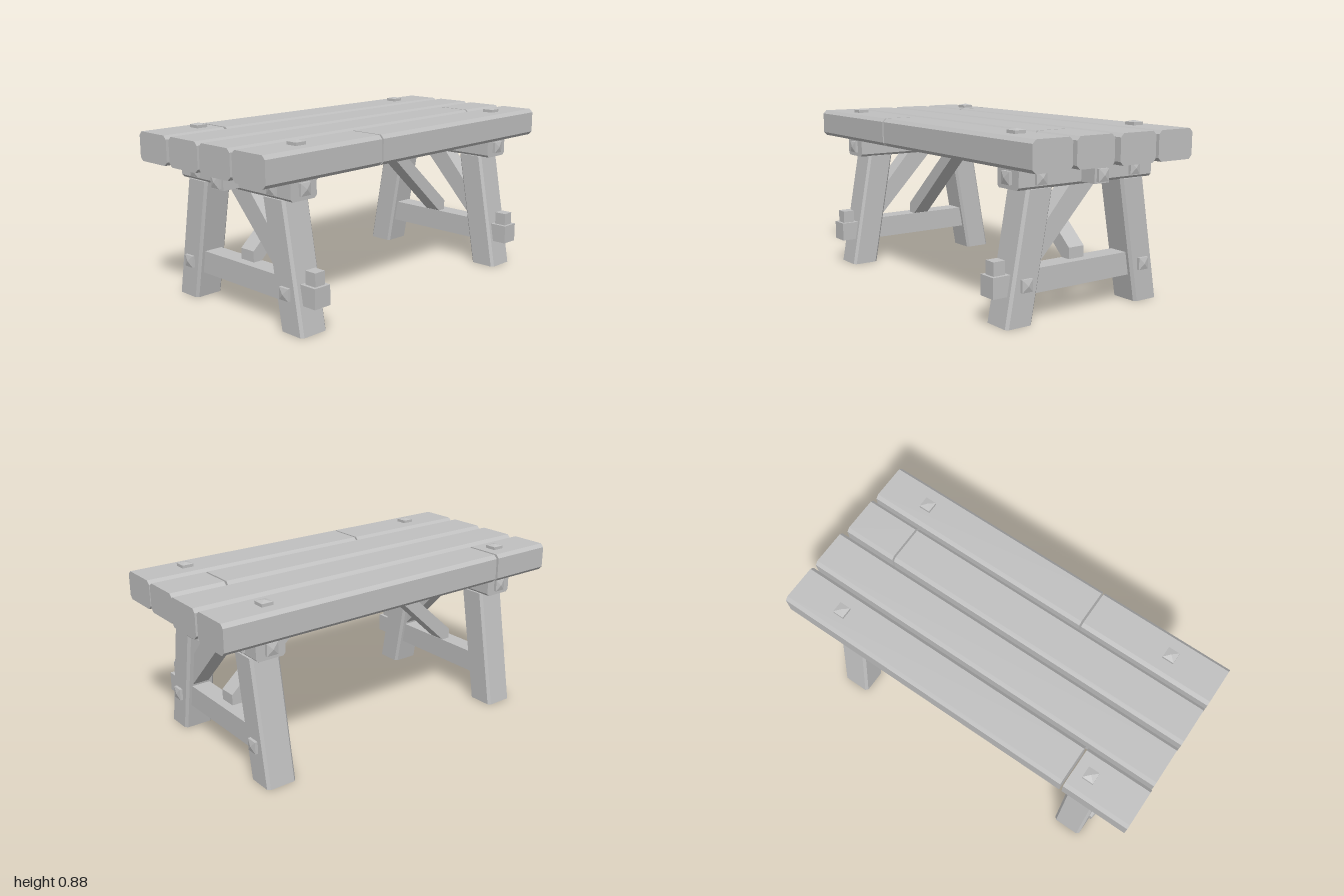
import * as THREE from 'three';

const wood = new THREE.MeshStandardMaterial({ color: 0xc0c0c0 });
wood.name = 'grey wood';

// Adds a flat-shaded mesh
function add(parent, name, geometry, x = 0, y = 0, z = 0) {
  const g = geometry.index ? geometry.toNonIndexed() : geometry;
  g.computeVertexNormals();
  const mesh = new THREE.Mesh(g, wood);
  mesh.name = name;
  mesh.position.set(x, y, z);
  parent.add(mesh);
  return mesh;
}

// Extrudes an outline along z, centred
function prism(points, length) {
  const shape = new THREE.Shape(points.map(([x, y]) => new THREE.Vector2(x, y)));
  return new THREE.ExtrudeGeometry(shape, { depth: length, bevelEnabled: false })
    .translate(0, 0, -length / 2);
}

// Timber along z with its four long edges chamfered
function timber(w, h, length, b) {
  const x = w / 2, y = h / 2;
  return prism([[-x + b, -y], [x - b, -y], [x, -y + b], [x, y - b],
    [x - b, y], [-x + b, y], [-x, y - b], [-x, -y + b]], length);
}

// Square peg head with a low pyramid top, pointing along +y
function pegHead() {
  const r = 0.03 * Math.SQRT2;
  const profile = [[r, -0.01], [r, 0.015], [0, 0.023]].map(([x, y]) => new THREE.Vector2(x, y));
  return new THREE.LatheGeometry(profile, 4).rotateY(Math.PI / 4);
}

export function createModel() {
  const model = new THREE.Group();
  model.name = 'bench';

  // Seat planks: z centre, then the x range of each length
  const rows = [
    [-0.38, [[-0.995, -0.646], [-0.632, 1]]],
    [-0.143, [[-0.993, 1]]],
    [0.096, [[-0.997, 0.688], [0.698, 0.985]]],
    [0.333, [[-1, -0.285], [-0.274, 0.98]]],
  ];
  for (const [z, spans] of rows) {
    for (const [a, b] of spans) {
      add(model, 'seatPlank', timber(0.218, 0.145, b - a, 0.018).rotateY(Math.PI / 2),
        (a + b) / 2, 0.788, z);
    }
  }

  // Long stretcher under the seat, with capped ends
  add(model, 'stretcher', new THREE.BoxGeometry(1.79, 0.077, 0.087), 0, 0.666, -0.023);

  for (const s of [-1, 1]) {
    const frame = new THREE.Group();
    frame.name = s > 0 ? 'leftTrestle' : 'rightTrestle';
    model.add(frame);
    const x = s * 0.727;

    // Beam carrying the planks
    add(frame, 'crossBeam', timber(0.157, 0.1, 0.803, 0.013), x, 0.666, -0.023);

    // Splayed legs, sheared outwards towards the floor
    for (const t of [-1, 1]) {
      const leg = timber(0.157, 0.147, 0.617, 0.013).rotateX(-Math.PI / 2).translate(0, 0.3085, 0);
      const p = leg.attributes.position;
      for (let i = 0; i < p.count; i++) {
        p.setZ(i, p.getZ(i) + t * (0.392 - 0.181 * p.getY(i)));
      }
      add(frame, t > 0 ? 'frontLeg' : 'backLeg', leg, x, 0, -0.025);
    }

    // Lower rail, its tenon through the front leg and the locking wedge
    add(frame, 'lowerRail', new THREE.BoxGeometry(0.1, 0.115, 0.7), x, 0.1925, -0.025);
    add(frame, 'tenon', new THREE.BoxGeometry(0.095, 0.098, 0.19), x, 0.191, 0.397);
    add(frame, 'wedge', new THREE.BoxGeometry(0.06, 0.12, 0.064), x, 0.245, 0.445);

    // Diagonal brace from front leg to cross beam (outline in z, y)
    const brace = prism([[-0.11, 0.63], [0.285, 0.22], [0.285, 0.36], [0.045, 0.63]], 0.09)
      .rotateY(-Math.PI / 2);
    add(frame, 'legBrace', brace, x);

    // Diagonal brace from lower rail to stretcher
    const outline = [[0.265, 0.63], [0.68, 0.25], [0.73, 0.25], [0.73, 0.305], [0.365, 0.63]];
    const stay = prism(outline, 0.092);
    if (s < 0) stay.rotateY(Math.PI);
    add(frame, 'stretcherBrace', stay, 0, 0, -0.024);

    // Peg heads on the outer side
    const sidePegs = [[0.805, 0.666, 0.26], [0.805, 0.666, -0.306],
      [0.895, 0.666, -0.022], [0.805, 0.19, 0.335], [0.805, 0.19, -0.381]];
    for (const [px, y, z] of sidePegs) {
      add(frame, 'sidePeg', pegHead(), s * px, y, z).rotation.z = -s * Math.PI / 2;
    }
    // Peg heads on the beam ends and the seat top
    for (const t of [-1, 1]) {
      add(frame, 'beamEndPeg', pegHead(), x, 0.668, -0.023 + t * 0.4015).rotation.x = t * Math.PI / 2;
      add(frame, 'seatPeg', pegHead(), x, 0.8605, -0.023 + t * 0.357);
    }
  }
  return model;
}
